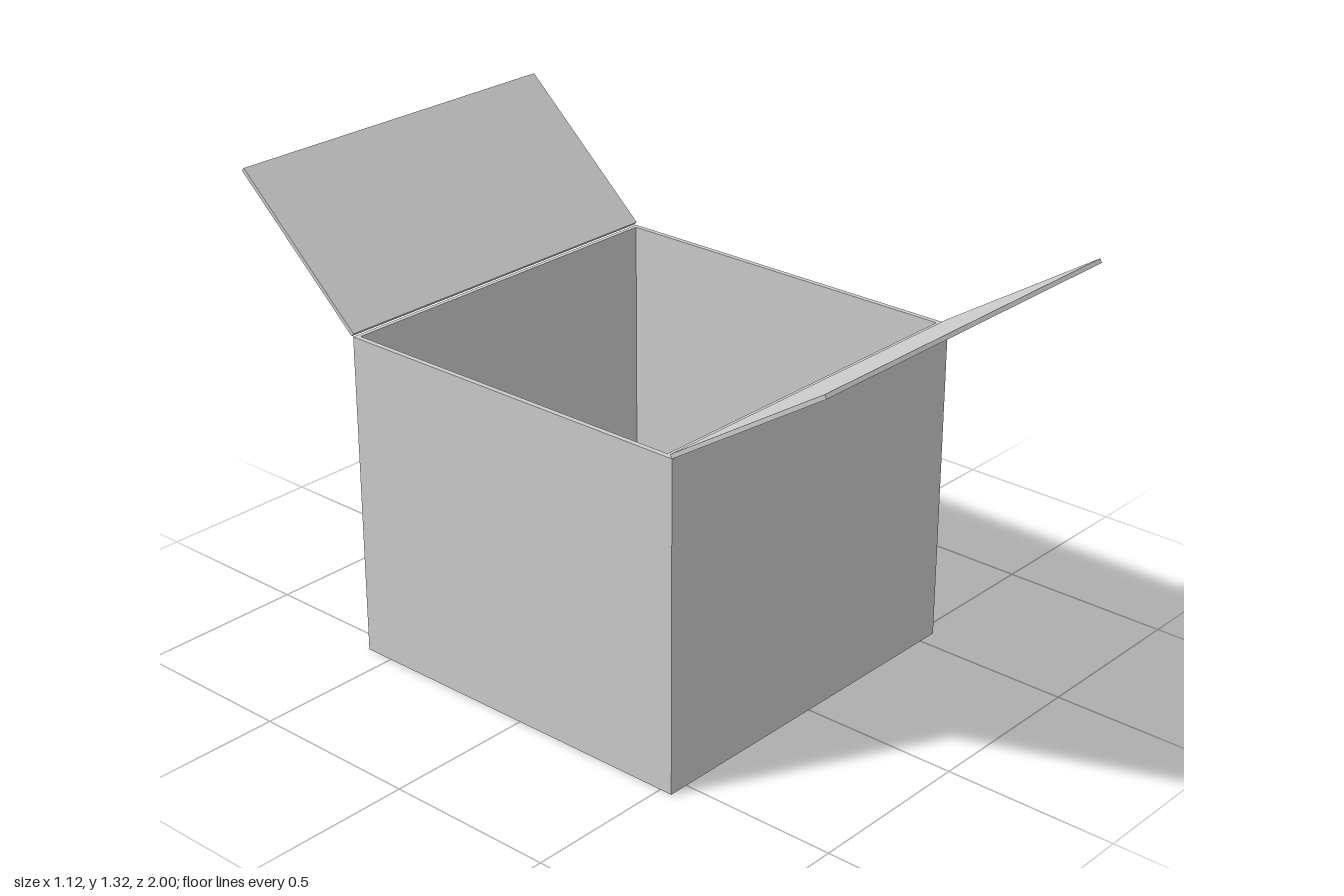
import * as THREE from 'three';

const WIDTH = 1.118, HEIGHT = 0.948;
const BACK = -0.587, FRONT = 0.537;
const CARD = 0.012;

export function createModel() {
  const model = new THREE.Group();
  const material = new THREE.MeshStandardMaterial({ color: 0xcccccc, flatShading: true });

  const add = (name, geometry, parent = model) => {
    const mesh = new THREE.Mesh(geometry, material);
    mesh.name = name;
    parent.add(mesh);
    return mesh;
  };

  // Rectangle in plan: shape y becomes -z once the extrusion is stood upright
  const rectangle = (Path, x, back, front) => new Path([
    [-x, -front], [x, -front], [x, -back], [-x, -back],
  ].map(([px, py]) => new THREE.Vector2(px, py)));

  // Four walls as one hollow sleeve, open at the top
  const plan = rectangle(THREE.Shape, WIDTH / 2, BACK, FRONT);
  plan.holes.push(rectangle(THREE.Path, WIDTH / 2 - 0.015, BACK + 0.013, FRONT - 0.028));
  const walls = new THREE.ExtrudeGeometry(plan, { depth: HEIGHT, bevelEnabled: false });
  add('walls', walls.rotateX(-Math.PI / 2));

  // Floor panel set inside the walls
  const floor = new THREE.BoxGeometry(WIDTH - 0.03, 0.015, FRONT - BACK - 0.041);
  add('floor', floor).position.set(0, 0.0075, (FRONT - 0.028 + BACK + 0.013) / 2);

  // Open flaps, each hinged on the top edge of its wall
  const addFlap = (name, side, hingeZ, tipY) => {
    const rise = tipY - HEIGHT - CARD * 0.8;
    const run = 1 - Math.abs(hingeZ);
    const length = Math.hypot(rise, run);
    const hinge = new THREE.Group();
    hinge.name = name + 'Hinge';
    hinge.position.set(0, HEIGHT, hingeZ);
    hinge.rotation.x = -side * Math.atan2(rise, run);
    const panel = new THREE.BoxGeometry(WIDTH, CARD, length);
    panel.translate(0, CARD / 2, side * length / 2);
    add(name, panel, hinge);
    model.add(hinge);
  };
  addFlap('frontFlap', 1, FRONT, 1.254);
  addFlap('backFlap', -1, BACK - 0.006, 1.325);

  return model;
}
